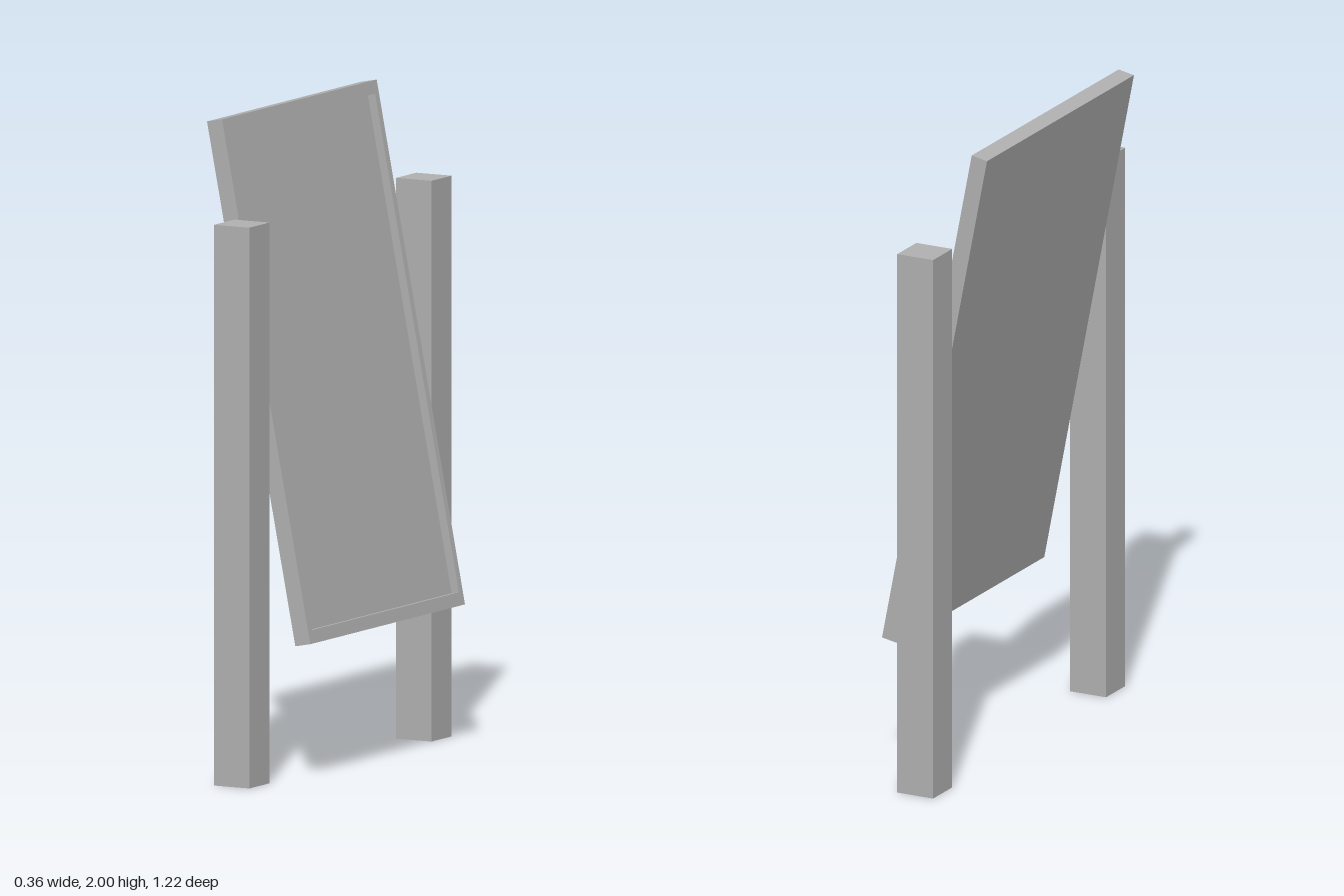
import * as THREE from 'three';

export function createModel() {
  const model = new THREE.Group();
  const grey = new THREE.MeshStandardMaterial({ color: 0xb0b0b0 });
  grey.name = 'grey';

  const add = (parent, name, geometry, x, y, z) => {
    const mesh = new THREE.Mesh(geometry, grey);
    mesh.name = name;
    mesh.position.set(x, y, z);
    parent.add(mesh);
    return mesh;
  };

  // Tilting board: its framed face looks towards +x
  const board = new THREE.Group();
  board.name = 'tiltingBoard';
  board.position.set(-0.002, 1.209, 0);
  board.rotation.z = THREE.MathUtils.degToRad(11);
  model.add(board);

  const height = 1.6, width = 0.936, thick = 0.053, recess = 0.026;
  const rimY = 0.04, rimZ = 0.023;
  const backThick = thick - recess;

  // Solid back panel
  add(board, 'backPanel', new THREE.BoxGeometry(backThick, height, width), -recess / 2, 0, 0);

  // Raised rim, extruded with a rectangular opening
  const rect = (path, w, h) => path
    .moveTo(-w / 2, -h / 2).lineTo(w / 2, -h / 2)
    .lineTo(w / 2, h / 2).lineTo(-w / 2, h / 2).closePath();
  const outline = rect(new THREE.Shape(), width, height);
  outline.holes.push(rect(new THREE.Path(), width - 2 * rimZ, height - 2 * rimY));
  const rim = new THREE.ExtrudeGeometry(outline, { depth: recess, bevelEnabled: false });
  rim.rotateY(Math.PI / 2);
  add(board, 'rim', rim, thick / 2 - recess, 0, 0);

  // Posts and pivot pins on both sides
  for (const [side, s] of [['front', 1], ['back', -1]]) {
    add(model, side + 'Post', new THREE.BoxGeometry(0.122, 1.702, 0.122), -0.013, 0.851, s * 0.551);
    add(board, side + 'PivotPin', new THREE.BoxGeometry(0.025, 0.022, 0.03), 0.002, -0.008, s * 0.479);
  }

  return model;
}
